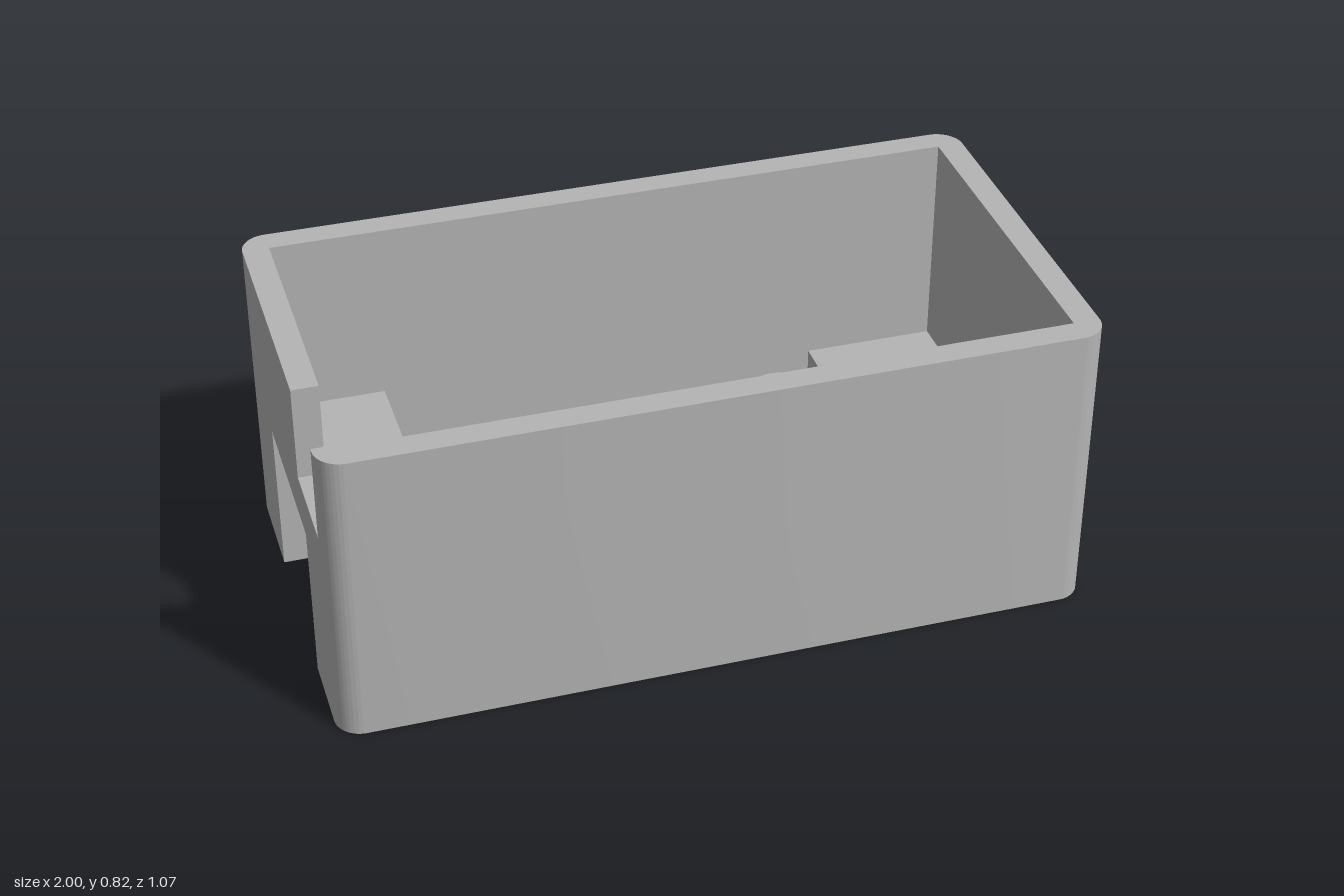
import * as THREE from 'three';
import { toCreasedNormals } from 'three/addons/utils/BufferGeometryUtils.js';

const HX = 1, HZ = 0.537, H = 0.825, WALL = 0.07;
const IX = HX - WALL, IZ = HZ - WALL;
const FLOOR = 0.065;

export function createModel() {
  const group = new THREE.Group();
  const grey = new THREE.MeshStandardMaterial({ color: 0xb4b4b4 });
  grey.name = 'grey plastic';

  const add = (name, geometry) => {
    const mesh = new THREE.Mesh(toCreasedNormals(geometry, 0.6), grey);
    mesh.name = name;
    group.add(mesh);
  };
  const extrude = (shape, depth) =>
    new THREE.ExtrudeGeometry(shape, { depth, bevelEnabled: false, curveSegments: 32 });

  // Shapes use (x, z) for plans and (z, y) for the end wall
  const plan = (pts) => new THREE.Shape(pts.map(([x, z]) => new THREE.Vector2(x, -z)));
  const rect = (x0, x1, z0, z1) => plan([[x0, z0], [x1, z0], [x1, z1], [x0, z1]]);
  const circle = (x, z, r, Type = THREE.Path) => new Type().absarc(x, -z, r, 0, Math.PI * 2);
  const upright = (name, shape, y0, y1) =>
    add(name, extrude(shape, y1 - y0).rotateX(-Math.PI / 2).translate(0, y0, 0));
  const elevation = (pts) => pts.map(([z, y]) => new THREE.Vector2(-z, y));

  // Three walls with rounded corners, open at the connector end
  const walls = new THREE.Shape();
  walls.moveTo(-IX, -IZ);
  walls.lineTo(-HX, -IZ);
  walls.absarc(-IX, -IZ, WALL, Math.PI, Math.PI * 1.5);
  walls.absarc(IX, -IZ, WALL, Math.PI * 1.5, Math.PI * 2);
  walls.absarc(IX, IZ, WALL, 0, Math.PI / 2);
  walls.absarc(-IX, IZ, WALL, Math.PI / 2, Math.PI);
  walls.lineTo(-IX, IZ);
  walls.lineTo(IX, IZ);
  walls.lineTo(IX, -IZ);
  upright('walls', walls, 0, H);

  // Connector end wall: socket opening below, cable notch above
  const socket = { z0: -0.21, z1: 0.254, top: 0.43, back: -0.715 };
  const notch = { z0: 0.2, z1: 0.455, y: 0.565 };
  const endOutline = elevation([
    [-IZ, 0], [socket.z0, 0], [socket.z0, socket.top], [socket.z1, socket.top], [socket.z1, 0],
    [IZ, 0], [IZ, H], [notch.z1, H], [notch.z1, notch.y], [notch.z0, notch.y], [notch.z0, H], [-IZ, H],
  ]);
  const outer = 0.025;
  add('endWallOuter', extrude(new THREE.Shape(endOutline), outer).rotateY(Math.PI / 2).translate(-HX, 0, 0));

  // Inner layer of the end wall carries a blind slot
  const inner = new THREE.Shape(endOutline);
  inner.holes.push(new THREE.Path(elevation([[-0.27, 0.685], [0.15, 0.685], [0.15, 0.755], [-0.27, 0.755]])));
  add('endWallInner', extrude(inner, WALL - outer).rotateY(Math.PI / 2).translate(-HX + outer, 0, 0));

  // Floor with the socket cut-out and two cable holes
  const holes = () => [-0.32, 0.32].map((z) => circle(0.72, z, 0.064));
  const floor = plan([
    [-IX, -IZ], [IX, -IZ], [IX, IZ], [-IX, IZ],
    [-IX, socket.z1], [socket.back, socket.z1], [socket.back, socket.z0], [-IX, socket.z0],
  ]);
  floor.holes.push(...holes());
  upright('floor', floor, 0, FLOOR);

  // Raised step around the cable holes
  const step = rect(0.57, IX, -IZ, IZ);
  step.holes.push(...holes());
  upright('step', step, FLOOR, 0.22);

  // Hood over the socket opening
  const hood = { x: -0.69, z0: -0.25, z1: 0.295 };
  upright('socketHoodSides', plan([
    [-IX, hood.z0], [hood.x, hood.z0], [hood.x, hood.z1], [-IX, hood.z1],
    [-IX, socket.z1], [socket.back, socket.z1], [socket.back, socket.z0], [-IX, socket.z0],
  ]), FLOOR, socket.top);
  upright('socketHoodTop', rect(-IX, hood.x, hood.z0, hood.z1), socket.top, 0.47);

  // Screw posts and square board support
  for (const [x, z] of [[0.455, -0.37], [-0.58, 0.345]]) {
    const post = circle(x, z, 0.09, THREE.Shape);
    post.holes.push(circle(x, z, 0.03));
    upright('screwPost', post, FLOOR, 0.17);
  }
  upright('boardSupport', rect(0.46, 0.57, 0.35, 0.46), FLOOR, 0.17);

  return group;
}
